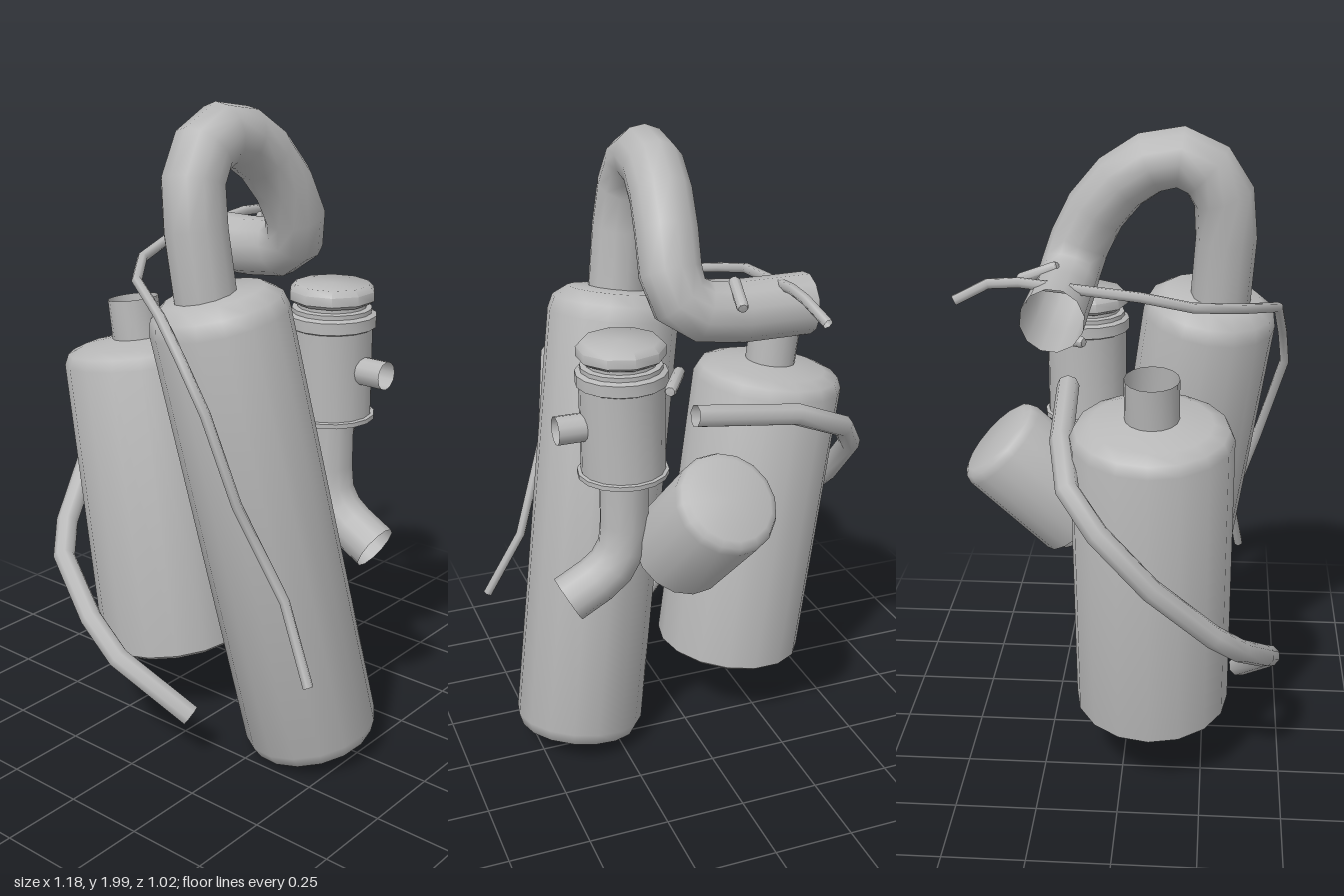
import * as THREE from 'three';
import { toCreasedNormals } from 'three/addons/utils/BufferGeometryUtils.js';

const metal = new THREE.MeshStandardMaterial({ color: 0xb8b8b8, side: THREE.DoubleSide });
metal.name = 'grey metal';

const vec = (p) => new THREE.Vector3(...p);

// A path with one ring per point and mitred bends
class BentPath extends THREE.Curve {
  constructor(points) {
    super();
    this.points = points.map(vec);
  }
  getPointAt(u, target = new THREE.Vector3()) {
    const last = this.points.length - 1;
    const i = Math.min(Math.round(u * last), last);
    return target.copy(this.points[i]);
  }
  getTangentAt(u, target = new THREE.Vector3()) {
    const p = this.points, last = p.length - 1, i = Math.round(u * last);
    target.set(0, 0, 0);
    if (i > 0) target.add(p[i].clone().sub(p[i - 1]).normalize());
    if (i < last) target.add(p[i + 1].clone().sub(p[i]).normalize());
    return target.normalize();
  }
}

function createModel() {
  const model = new THREE.Group();
  model.name = 'canisterAssembly';

  const add = (name, geometry) => {
    const mesh = new THREE.Mesh(geometry, metal);
    mesh.name = name;
    model.add(mesh);
    return mesh;
  };

  // Open tube through the given points
  const tube = (name, radius, sides, points) =>
    add(name, new THREE.TubeGeometry(new BentPath(points), points.length - 1, radius, sides));

  // Turned part: profile of [radius, height] standing at base, leaning towards tip
  const turned = (name, base, tip, sides, profile) => {
    const lathe = new THREE.LatheGeometry(profile.map(([r, h]) => new THREE.Vector2(r, h)), sides);
    const mesh = add(name, toCreasedNormals(lathe, 0.85));
    const axis = vec(tip).sub(vec(base)).normalize();
    mesh.position.copy(vec(base));
    mesh.quaternion.setFromUnitVectors(new THREE.Vector3(0, 1, 0), axis);
    return mesh;
  };

  // Tall leaning canister with closed, chamfered ends
  turned('tallCanister', [0.365, 0.04, 0.05], [0.135, 1.48, 0.255], 16, [
    [0, 0], [0.165, 0], [0.19, 0.012], [0.207, 0.05],
    [0.207, 1.39], [0.195, 1.435], [0.15, 1.468], [0, 1.475],
  ]);

  // Shorter canister with an open neck and a hole underneath
  turned('wideCanister', [-0.19, 0.235, 0.09], [-0.325, 1.215, 0.09], 16, [
    [0.1, 0], [0.225, 0], [0.24, 0.012], [0.24, 0.945],
    [0.225, 0.978], [0.18, 0.995], [0.08, 1.01], [0.08, 1.135],
  ]);

  // Small tilted canister at the back, with a lip on its lower end
  turned('rearCanister', [0.075, 0.735, -0.135], [0.02, 1.03, -0.425], 16, [
    [0, 0], [0.12, 0], [0.13, 0.005], [0.13, 0.03], [0.16, 0.035],
    [0.16, 0.375], [0.15, 0.4], [0.13, 0.41], [0, 0.412],
  ]);

  // Large pipe looping over from the tall canister
  tube('loopPipe', 0.093, 12, [
    [0.125, 1.44, 0.275], [0.1, 1.66, 0.29], [0.083, 1.79, 0.28], [0.075, 1.87, 0.23],
    [0.073, 1.907, 0.15], [0.075, 1.89, 0.06], [0.085, 1.83, -0.03], [0.097, 1.74, -0.105],
    [0.105, 1.64, -0.155], [0.085, 1.565, -0.18], [0.02, 1.525, -0.19], [-0.1, 1.512, -0.195],
    [-0.31, 1.512, -0.195],
  ]);

  // Valve body with flange, collar and groove, then its faceted cap
  turned('valveBody', [0.255, 1.035, -0.15], [0.255, 2, -0.15], 16, [
    [0, 0], [0.138, 0], [0.138, 0.014], [0.127, 0.016], [0.127, 0.285],
    [0.137, 0.29], [0.137, 0.325], [0.122, 0.332], [0.122, 0.345],
    [0.105, 0.348], [0.105, 0.37],
  ]);
  turned('valveCap', [0.255, 1.395, -0.15], [0.255, 2, -0.15], 10, [
    [0, 0], [0.115, 0], [0.132, 0.012], [0.132, 0.04], [0.115, 0.058], [0, 0.058],
  ]);
  tube('valvePort', 0.043, 12, [[0.34, 1.2, -0.15], [0.46, 1.2, -0.15]]);
  tube('valveElbow', 0.075, 12, [
    [0.255, 1.05, -0.15], [0.255, 0.87, -0.15], [0.265, 0.79, -0.15],
    [0.3, 0.73, -0.15], [0.35, 0.69, -0.15], [0.44, 0.64, -0.15],
  ]);

  // Hose wrapping around the wide canister
  tube('wrapHose', 0.035, 8, [
    [0.04, 1.2, -0.19], [-0.3, 1.15, -0.175], [-0.48, 1.07, -0.14], [-0.555, 0.97, -0.05],
    [-0.55, 0.8, 0.1], [-0.485, 0.62, 0.28], [-0.42, 0.54, 0.36], [-0.22, 0.41, 0.44],
    [-0.08, 0.33, 0.465], [0.13, 0.165, 0.37],
  ]);

  // Thin bent line running down the front
  tube('thinLine', 0.016, 6, [
    [-0.235, 1.545, -0.485], [-0.21, 1.59, -0.39], [-0.21, 1.595, -0.3], [-0.22, 1.56, 0.05],
    [-0.195, 1.525, 0.2], [-0.09, 1.495, 0.335], [0.11, 1.445, 0.455], [0.205, 1.34, 0.475],
    [0.305, 1.21, 0.49], [0.35, 0.93, 0.41], [0.46, 0.64, 0.33], [0.575, 0.42, 0.365],
  ]);

  // Short pegs beside the loop pipe
  const pegs = {
    upperPeg: [[-0.05, 1.56, -0.325], [-0.073, 1.61, -0.2]],
    lowerPeg: [[0.16, 1.33, -0.295], [0.07, 1.33, -0.14]],
  };
  for (const [name, [start, end]] of Object.entries(pegs)) {
    const length = vec(end).distanceTo(vec(start));
    turned(name, start, end, 8, [
      [0, 0], [0.014, 0.003], [0.018, 0.012], [0.018, length - 0.012], [0.014, length - 0.003], [0, length],
    ]);
  }

  return model;
}

export { createModel };
